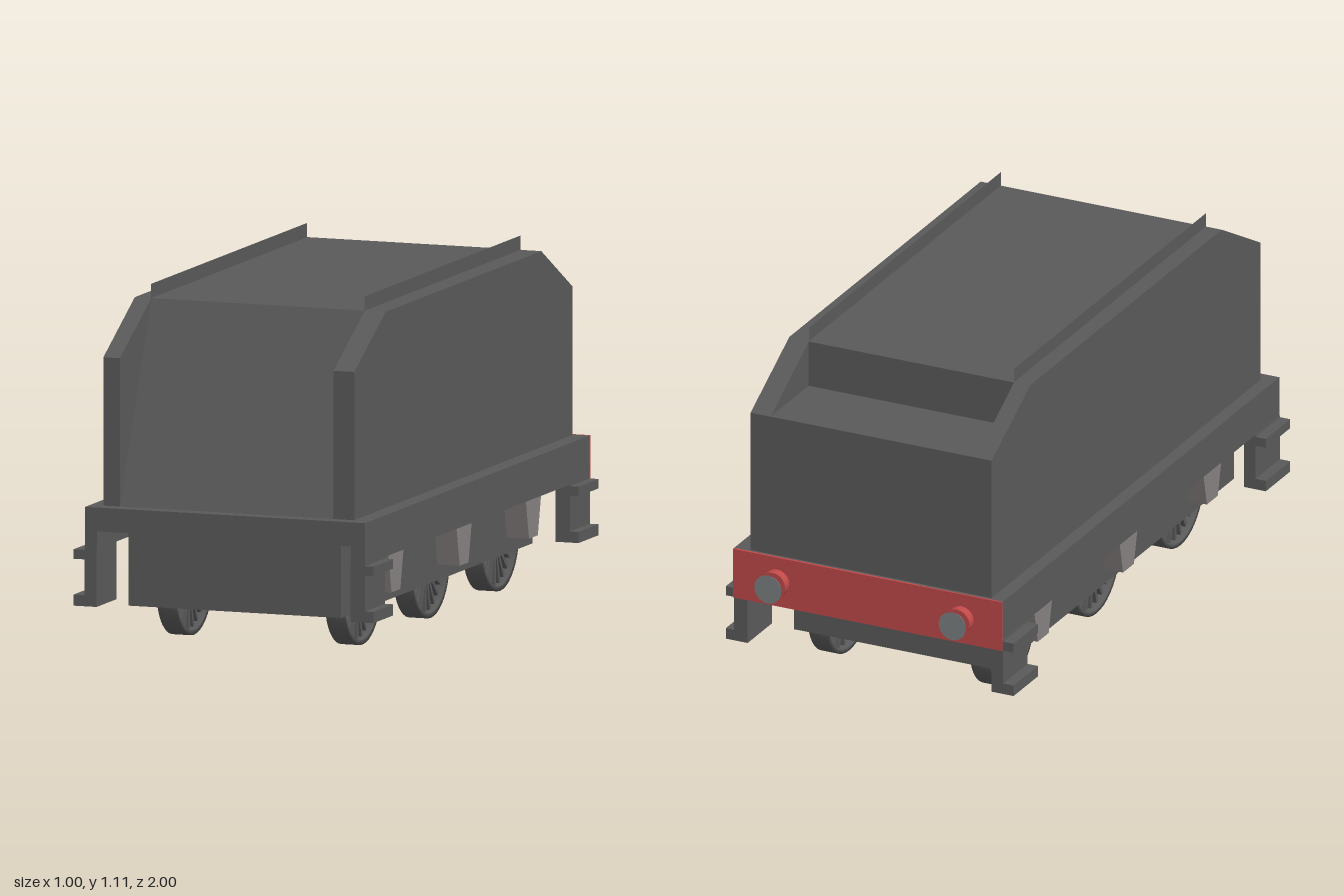
import * as THREE from 'three';

const mat = (name, color, side = THREE.FrontSide) => {
  const m = new THREE.MeshStandardMaterial({ color, side });
  m.name = name;
  return m;
};

export function createModel() {
  const dark = mat('dark grey', 0x5a5a5a);
  dark.side = THREE.DoubleSide;
  const light = mat('axle box grey', 0x878181);
  const red = mat('buffer red', 0xc24a4a);
  const steel = mat('buffer steel', 0x7c8080);

  const model = new THREE.Group();
  const add = (name, geometry, material, parent = model) => {
    const mesh = new THREE.Mesh(geometry, material);
    mesh.name = name;
    parent.add(mesh);
    return mesh;
  };
  // Box given by its limits on each axis
  const box = (name, [x0, x1], [y0, y1], [z0, z1], material = dark) => {
    const g = new THREE.BoxGeometry(x1 - x0, y1 - y0, z1 - z0);
    g.translate((x0 + x1) / 2, (y0 + y1) / 2, (z0 + z1) / 2);
    return add(name, g, material);
  };
  // Side outline of [z, y] points, extruded from x0 to x1
  const slab = (name, [x0, x1], points, material = dark) => {
    const shape = new THREE.Shape(points.map(p => new THREE.Vector2(...p)));
    const g = new THREE.ExtrudeGeometry(shape, { depth: x1 - x0, bevelEnabled: false });
    g.rotateY(-Math.PI / 2).translate(x1, 0, 0);
    return add(name, g, material);
  };

  // Tank: side walls, and a middle with a sloping front and a stepped back
  const wall = [[0.955, 0.445], [0.955, 0.91], [0.685, 1.06], [-0.65, 1.06], [-0.92, 0.91], [-0.92, 0.445]];
  slab('leftTankWall', [0.348, 0.417], wall);
  slab('rightTankWall', [-0.417, -0.362], wall);
  slab('tankMiddle', [-0.362, 0.348],
    [[0.955, 0.445], [0.685, 1.06], [-0.655, 1.06], [-0.655, 0.91], [-0.92, 0.91], [-0.92, 0.445]]);

  // Thin rails along the top
  for (const x of [-0.362, 0.348]) {
    const g = new THREE.PlaneGeometry(1.34, 0.05);
    g.rotateY(Math.PI / 2).translate(x, 1.08, 0.018);
    add('topRail', g, dark);
  }

  // Deck and its side skirts
  box('deck', [-0.46, 0.47], [0.37, 0.445], [-0.93, 1]);
  box('leftSkirt', [0.423, 0.47], [0.315, 0.37], [-0.93, 1]);
  box('rightSkirt', [-0.46, -0.42], [0.315, 0.37], [-0.93, 1]);
  box('bufferBeam', [-0.46, 0.47], [0.28, 0.445], [-0.936, -0.928], red);

  // Lower chassis
  box('chassis', [-0.358, 0.348], [0.125, 0.225], [-0.755, 0.89]);
  box('chassisUpper', [-0.358, 0.348], [0.225, 0.37], [-0.62, 0.89]);

  // Corner steps: a hanging plate with two outward treads
  for (const z of [[0.83, 1], [-0.93, -0.76]]) {
    for (const s of [1, -1]) {
      const span = (a, b) => (s > 0 ? [a, b] : [-b, -a]);
      const outer = s > 0 ? 0.47 : 0.462;
      box('stepPlate', span(0.422, outer), [0.133, 0.315], z);
      box('upperTread', span(outer, 0.498), [0.28, 0.31], z);
      box('lowerTread', span(outer, 0.498), [0.133, 0.168], z);
    }
  }

  // Spoked wheels and tapered axle boxes
  const R = 0.165;
  const rim = [[0.15, -0.031], [R, -0.031], [R, 0.031], [0.15, 0.031], [0.15, -0.031]];
  for (const z of [0.61, 0.025, -0.57]) {
    for (const s of [1, -1]) {
      const wheel = new THREE.Group();
      wheel.name = 'wheel';
      wheel.position.set(s * 0.28, R, z);
      model.add(wheel);
      const tyre = new THREE.LatheGeometry(rim.map(p => new THREE.Vector2(...p)), 40);
      add('tyre', tyre.rotateZ(Math.PI / 2), dark, wheel);
      add('hub', new THREE.CylinderGeometry(0.03, 0.03, 0.062, 16).rotateZ(Math.PI / 2), dark, wheel);
      for (let i = 0; i < 24; i++) {
        const spoke = new THREE.BoxGeometry(0.03, 0.13, 0.012);
        spoke.translate(0, 0.09, 0).rotateX((i / 24) * Math.PI * 2);
        add('spoke', spoke, dark, wheel);
      }
      slab('axleBox', s > 0 ? [0.348, 0.422] : [-0.422, -0.358],
        [[z + 0.07, 0.318], [z + 0.038, 0.175], [z - 0.038, 0.175], [z - 0.07, 0.318]], light);
    }
  }

  // Buffers at the back
  for (const x of [-0.32, 0.318]) {
    const buffer = new THREE.Group();
    buffer.name = 'buffer';
    buffer.position.set(x, 0.362, 0);
    model.add(buffer);
    const disc = (name, rBack, rFront, z0, z1, material) => {
      const g = new THREE.CylinderGeometry(rFront, rBack, z1 - z0, 20);
      add(name, g.rotateX(Math.PI / 2).translate(0, 0, (z0 + z1) / 2), material, buffer);
    };
    disc('bufferBase', 0.043, 0.043, -0.966, -0.93, red);
    disc('bufferStem', 0.012, 0.02, -0.99, -0.966, steel);
    disc('bufferHead', 0.047, 0.042, -1, -0.99, steel);
  }

  return model;
}
